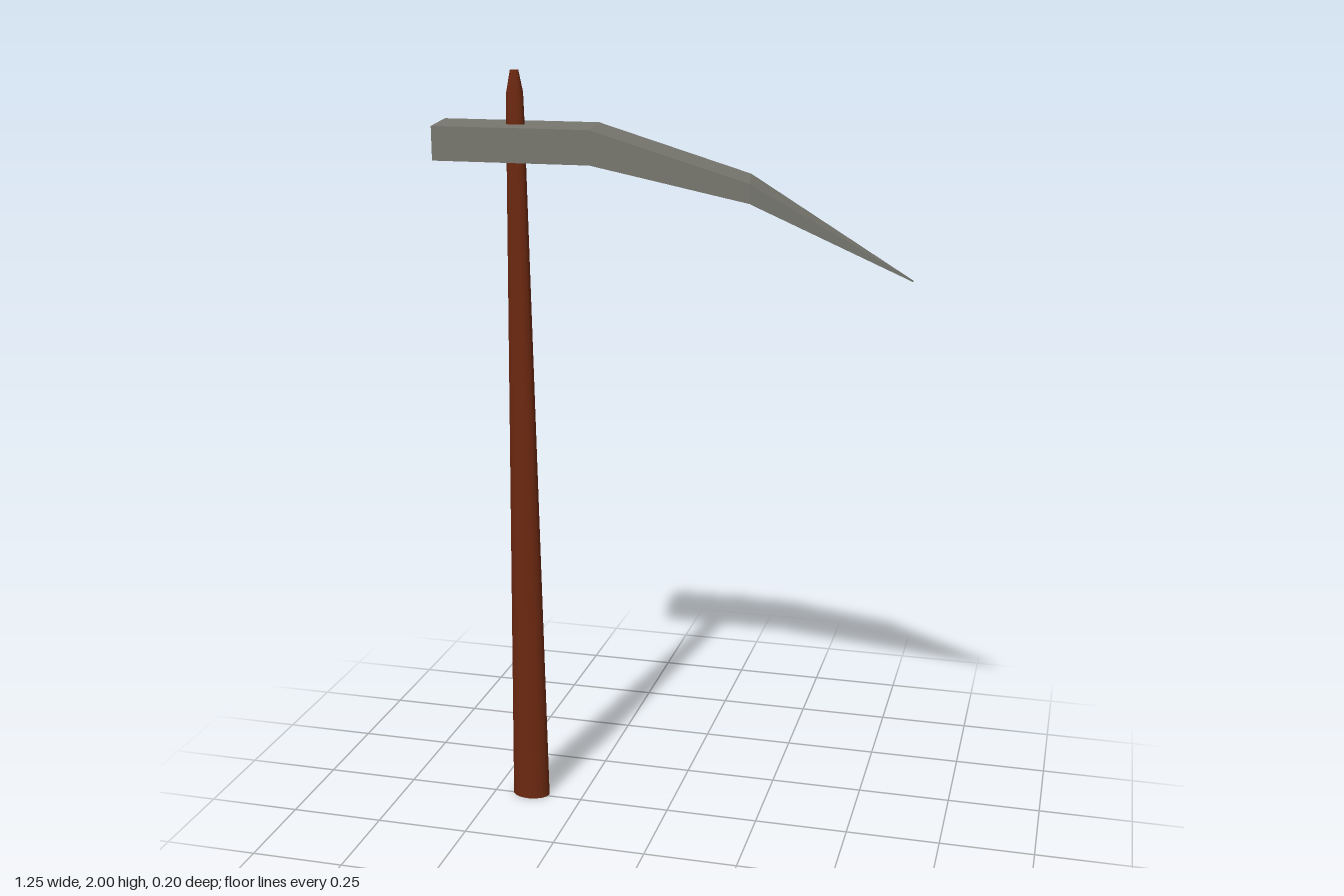
import * as THREE from 'three';
import { toCreasedNormals } from 'three/addons/utils/BufferGeometryUtils.js';

// Head: slanted four-cornered sections joined from the butt to the point
function headGeometry() {
  // back x, back z, front x, front z, top y, bottom y
  const sections = [
    [-0.623, -0.104, -0.587, 0.087, 1.866, 1.78],
    [-0.205, -0.104, -0.175, 0.087, 1.866, 1.78],
    [0.195, -0.09, 0.23, 0.1, 1.75, 1.702],
    [0.619, 0.012, 0.622, 0.02, 1.519, 1.515],
  ];
  const positions = [];
  for (const [bx, bz, fx, fz, top, bottom] of sections) {
    positions.push(fx, top, fz, bx, top, bz, bx, bottom, bz, fx, bottom, fz);
  }
  const index = [0, 1, 2, 0, 2, 3];
  const last = (sections.length - 1) * 4;
  for (let i = 0; i < last; i += 4) {
    for (let k = 0; k < 4; k++) {
      const n = (k + 1) % 4;
      const a = i + k, b = i + 4 + k, c = i + 4 + n, d = i + n;
      index.push(a, b, c, a, c, d);
    }
  }
  index.push(last, last + 2, last + 1, last, last + 3, last + 2);
  const geometry = new THREE.BufferGeometry();
  geometry.setAttribute('position', new THREE.Float32BufferAttribute(positions, 3));
  geometry.setIndex(index);
  const flat = geometry.toNonIndexed();
  flat.computeVertexNormals();
  return flat;
}

// Handle: tapered oval shaft with a narrowed tip above the head
function handleGeometry() {
  const profile = [[0, 0], [0.052, 0], [0.024, 1.87], [0.022, 1.945], [0.011, 2], [0, 2]]
    .map(([r, y]) => new THREE.Vector2(r, y));
  const geometry = new THREE.LatheGeometry(profile, 16);
  geometry.scale(1, 1, 0.71);
  return toCreasedNormals(geometry, Math.PI / 5);
}

export function createModel() {
  const group = new THREE.Group();
  group.name = 'pickaxe';

  const handle = new THREE.Mesh(
    handleGeometry(),
    new THREE.MeshStandardMaterial({ color: 0x6b2810 })
  );
  handle.name = 'handle';
  handle.position.set(-0.397, 0, -0.009);

  const head = new THREE.Mesh(
    headGeometry(),
    new THREE.MeshStandardMaterial({ color: 0x77776f, flatShading: true })
  );
  head.name = 'head';

  group.add(handle, head);
  return group;
}
